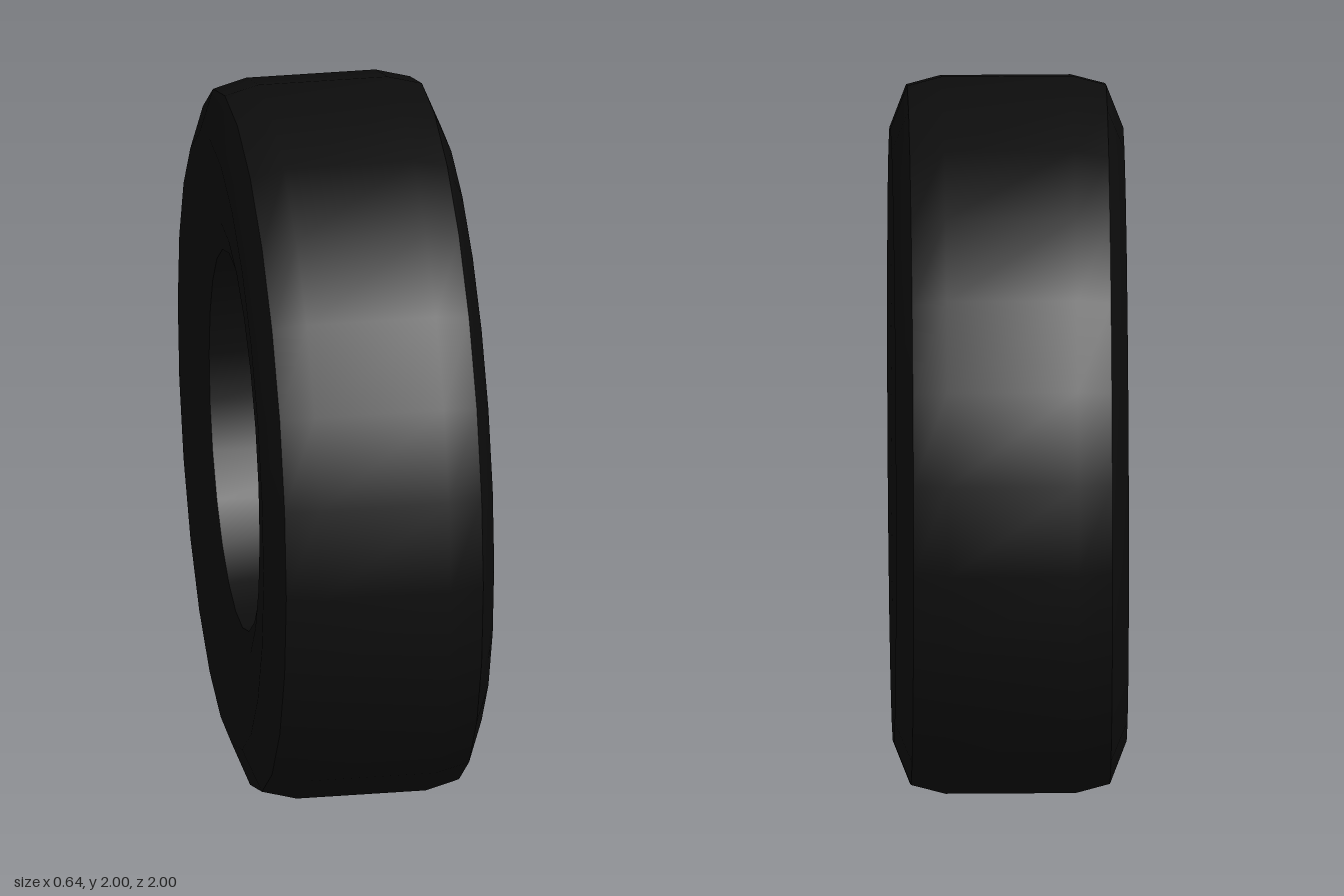
import * as THREE from 'three';
import { toCreasedNormals } from 'three/addons/utils/BufferGeometryUtils.js';

// Turn a [radius, x] profile around the x axle
function turned(name, profile, segments, material, phase = 0) {
  const points = profile.map(([r, x]) => new THREE.Vector2(r, x));
  const lathe = new THREE.LatheGeometry(points, segments, phase);
  lathe.rotateZ(-Math.PI / 2);
  const mesh = new THREE.Mesh(toCreasedNormals(lathe, 0.5), material);
  mesh.name = name;
  return mesh;
}

export function createModel() {
  const rubber = new THREE.MeshStandardMaterial({ name: 'black rubber', color: 0x0d0d0d });
  const metal = new THREE.MeshStandardMaterial({ name: 'pale metal', color: 0xb8b7bb, side: THREE.DoubleSide });
  const model = new THREE.Group();
  model.name = 'wheel';
  const wheel = new THREE.Group();
  wheel.name = 'wheelAssembly';
  wheel.position.y = 1;
  model.add(wheel);

  // Tyre: mirrored section with bevelled shoulders and an open bore
  const half = [[0.53, 0.28], [0.62, 0.3], [0.855, 0.322], [0.975, 0.275], [1, 0.18]];
  const section = [
    ...half.map(([r, x]) => [r, -x]),
    ...half.slice().reverse(),
    [0.53, -0.28],
  ];
  wheel.add(turned('tyre', section, 24, rubber));

  // Rim: barrel open at the inner side, lip, and recessed face
  wheel.add(turned('rimBarrel', [[0.52, -0.13], [0.52, 0.265]], 24, metal));
  wheel.add(turned('rimLip', [[0.527, 0.27], [0.527, 0.283], [0.515, 0.284], [0.492, 0.268]], 24, metal));
  wheel.add(turned('rimFace',
    [[0.503, 0.268], [0.49, 0.24], [0.27, 0.24], [0.22, 0.25], [0.185, 0.268], [0, 0.268]],
    16, metal, Math.PI / 16));

  // Five dark openings laid on the face
  const opening = new THREE.Shape([
    [-0.235, 0.4], [-0.14, 0.27], [0.045, 0.305], [0.085, 0.455],
  ].map(([u, v]) => new THREE.Vector2(u, v)));
  for (let i = 0; i < 5; i++) {
    const geometry = new THREE.ShapeGeometry(opening);
    geometry.rotateZ(i * Math.PI * 2 / 5);
    geometry.rotateY(Math.PI / 2);
    const plate = new THREE.Mesh(geometry, rubber);
    plate.name = 'rimOpening';
    plate.position.x = 0.244;
    wheel.add(plate);
  }

  // Domed centre cap with six nuts round its edge
  wheel.add(turned('centreCap',
    [[0.185, 0.255], [0.185, 0.274], [0.175, 0.279], [0.12, 0.289], [0.06, 0.295], [0, 0.297]], 24, metal));
  for (let i = 0; i < 6; i++) {
    const a = i * Math.PI / 3;
    const nut = new THREE.Mesh(new THREE.CylinderGeometry(0.022, 0.022, 0.035, 6), metal);
    nut.name = 'wheelNut';
    nut.rotation.z = -Math.PI / 2;
    nut.position.set(0.274, 0.162 * Math.sin(a), 0.162 * Math.cos(a));
    wheel.add(nut);
  }
  return model;
}
